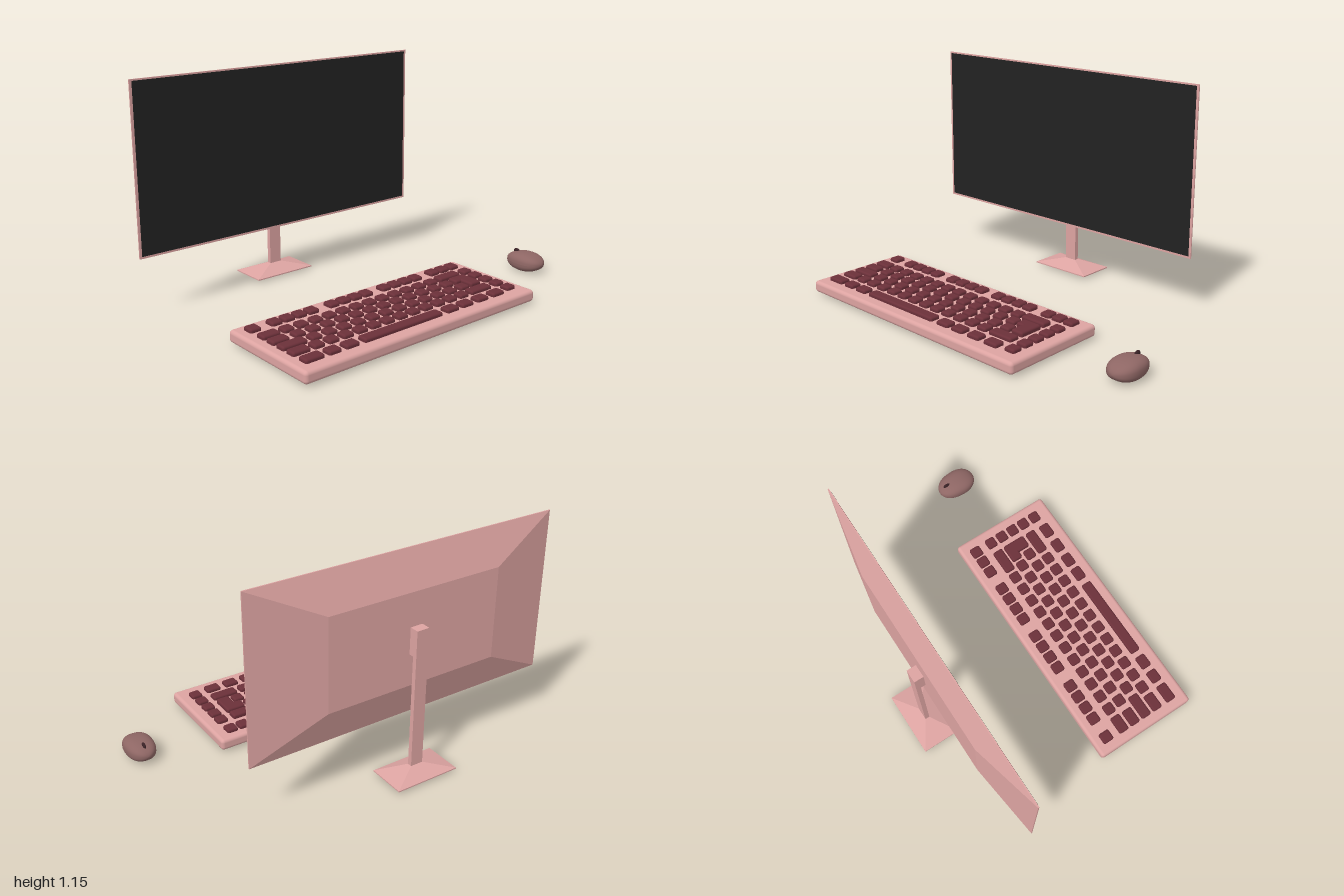
import * as THREE from 'three';
import { RoundedBoxGeometry } from 'three/addons/geometries/RoundedBoxGeometry.js';

const material = (color) => new THREE.MeshStandardMaterial({ color });
const shell = material(0xdca3a1);
const keyColor = material(0x6b3039);
const mouseColor = material(0x8e6664);
const screenColor = material(0x222222);
const wheelColor = material(0x3a2226);

function add(parent, name, geometry, mat) {
  const mesh = new THREE.Mesh(geometry, mat);
  mesh.name = name;
  parent.add(mesh);
  return mesh;
}

// Box given by its limits on each axis
function block([x0, x1], [y0, y1], [z0, z1]) {
  return new THREE.BoxGeometry(x1 - x0, y1 - y0, z1 - z0)
    .translate((x0 + x1) / 2, (y0 + y1) / 2, (z0 + z1) / 2);
}

// Box whose face at one end of an axis is replaced by a different rectangle
function frustum(xs, ys, zs, axis, end, rect) {
  const geometry = block(xs, ys, zs);
  const p = geometry.attributes.position;
  const limits = [xs, ys, zs];
  for (let i = 0; i < p.count; i++) {
    if (Math.abs(p.getComponent(i, axis) - limits[axis][end]) > 1e-4) continue;
    for (const a of [0, 1, 2]) {
      if (a === axis) continue;
      const high = p.getComponent(i, a) > (limits[a][0] + limits[a][1]) / 2;
      p.setComponent(i, a, rect[a][high ? 1 : 0]);
    }
  }
  geometry.computeVertexNormals();
  return geometry;
}

function createMonitor() {
  const g = new THREE.Group();
  g.name = 'monitor';
  const xs = [-1, 0.715], ys = [0.289, 1.154];
  add(g, 'bezel', block(xs, ys, [-0.459, -0.453]), shell);
  add(g, 'screen', block([-0.987, 0.702], [0.3, 1.146], [-0.458, -0.4515]), screenColor);
  add(g, 'backHousing',
    frustum(xs, ys, [-0.527, -0.459], 2, 0, [[-0.625, 0.34], [0.481, 0.965]]), shell);

  // Stand: bracket, post and sloping foot
  const post = [-0.176, -0.108], postZ = [-0.577, -0.553];
  add(g, 'bracket', block(post, [0.65, 0.79], [-0.553, -0.525]), shell);
  add(g, 'post', block(post, [0.05, 0.79], postZ), shell);
  const footX = [-0.317, 0.033], footZ = [-0.668, -0.463];
  add(g, 'footPlate', block(footX, [0.012, 0.018], footZ), shell);
  add(g, 'footSlope',
    frustum(footX, [0.018, 0.055], footZ, 1, 1, [post, null, postZ]), shell);
  return g;
}

function createKeyboard() {
  const g = new THREE.Group();
  g.name = 'keyboard';
  const body = add(g, 'keyboardBody', new RoundedBoxGeometry(1.435, 0.061, 0.575, 4, 0.018), shell);
  body.position.set(-0.1475, 0.0425, 0.3805);

  const key = (x0, x1, z0, z1, name = 'key', top = 0.092) => {
    const h = top - 0.06;
    const m = add(g, name, new RoundedBoxGeometry(x1 - x0, h, z1 - z0, 2, 0.011), keyColor);
    m.position.set((x0 + x1) / 2, 0.06 + h / 2, (z0 + z1) / 2);
  };
  const keyRun = (start, count, pitch, width, z0, z1) => {
    for (let i = 0; i < count; i++) {
      key(start + i * pitch, start + i * pitch + width, z0, z1);
    }
  };

  // Function row: a single key, then clusters
  for (const [start, count] of [[-0.815, 1], [-0.697, 4], [-0.36, 4], [-0.027, 4], [0.308, 3]]) {
    keyRun(start, count, 0.071, 0.06, 0.139, 0.201);
  }

  // Main rows: [z, end of the wide left key, first and last edge of the 12 keys]
  const rows = [
    [0.241, -0.718, -0.7, 0.262],
    [0.314, -0.722, -0.692, 0.301],
    [0.387, -0.678, -0.656, 0.337],
    [0.46, -0.718, -0.7, 0.258],
  ];
  for (const [z, leftEnd, from, to] of rows) {
    const width = 0.06;
    key(-0.815, leftEnd, z, z + 0.058);
    keyRun(from, 12, (to - from - width) / 11, width, z, z + 0.058);
  }
  key(0.278, 0.42, 0.241, 0.299, 'backspaceKey', 0.096);
  key(0.278, 0.42, 0.46, 0.518, 'rightShiftKey');
  key(0.314, 0.42, 0.311, 0.372, 'enterKeyTop', 0.096);
  key(0.35, 0.42, 0.311, 0.443, 'enterKeyStem', 0.096);

  // Bottom row with the space bar
  const bottom = [[-0.815, -0.713], [-0.69, -0.62], [-0.595, -0.52], [0.02, 0.098],
    [0.12, 0.196], [0.226, 0.302], [0.334, 0.415]];
  for (const [x0, x1] of bottom) key(x0, x1, 0.549, 0.607);
  key(-0.49, -0.013, 0.549, 0.607, 'spaceBar');

  // Column on the model's left edge
  for (const z of [0.241, 0.314, 0.387, 0.46, 0.536]) key(0.452, 0.512, z, z + 0.058);
  return g;
}

function createMouse() {
  const g = new THREE.Group();
  g.name = 'mouse';
  // Sphere reshaped into a blunt outline with squarish cross-sections
  const geometry = new THREE.SphereGeometry(1, 40, 28).rotateX(Math.PI / 2);
  const p = geometry.attributes.position;
  const soft = (v) => Math.sign(v) * Math.pow(Math.abs(v), 0.78);
  for (let i = 0; i < p.count; i++) {
    const z = THREE.MathUtils.clamp(p.getZ(i), -1, 1);
    const r = Math.hypot(p.getX(i), p.getY(i)) || 1;
    const width = 0.0755 * Math.sqrt(1 - Math.abs(z) ** 2.6) * (z < 0.2 ? 1 - 0.07 * (0.2 - z) : 1);
    const height = 0.0505 * Math.sqrt(1 - z * z);
    p.setXYZ(i, width * soft(p.getX(i) / r), height * soft(p.getY(i) / r), 0.1115 * z);
  }
  geometry.computeVertexNormals();
  add(g, 'mouseBody', geometry, mouseColor).position.set(0.9225, 0.0505, 0.3115);

  const wheel = add(g, 'scrollWheel', new THREE.SphereGeometry(1, 16, 12), wheelColor);
  wheel.scale.set(0.008, 0.016, 0.02);
  wheel.position.set(0.9225, 0.091, 0.249);
  return g;
}

export function createModel() {
  const model = new THREE.Group();
  model.name = 'desktopComputer';
  model.add(createMonitor(), createKeyboard(), createMouse());
  return model;
}
